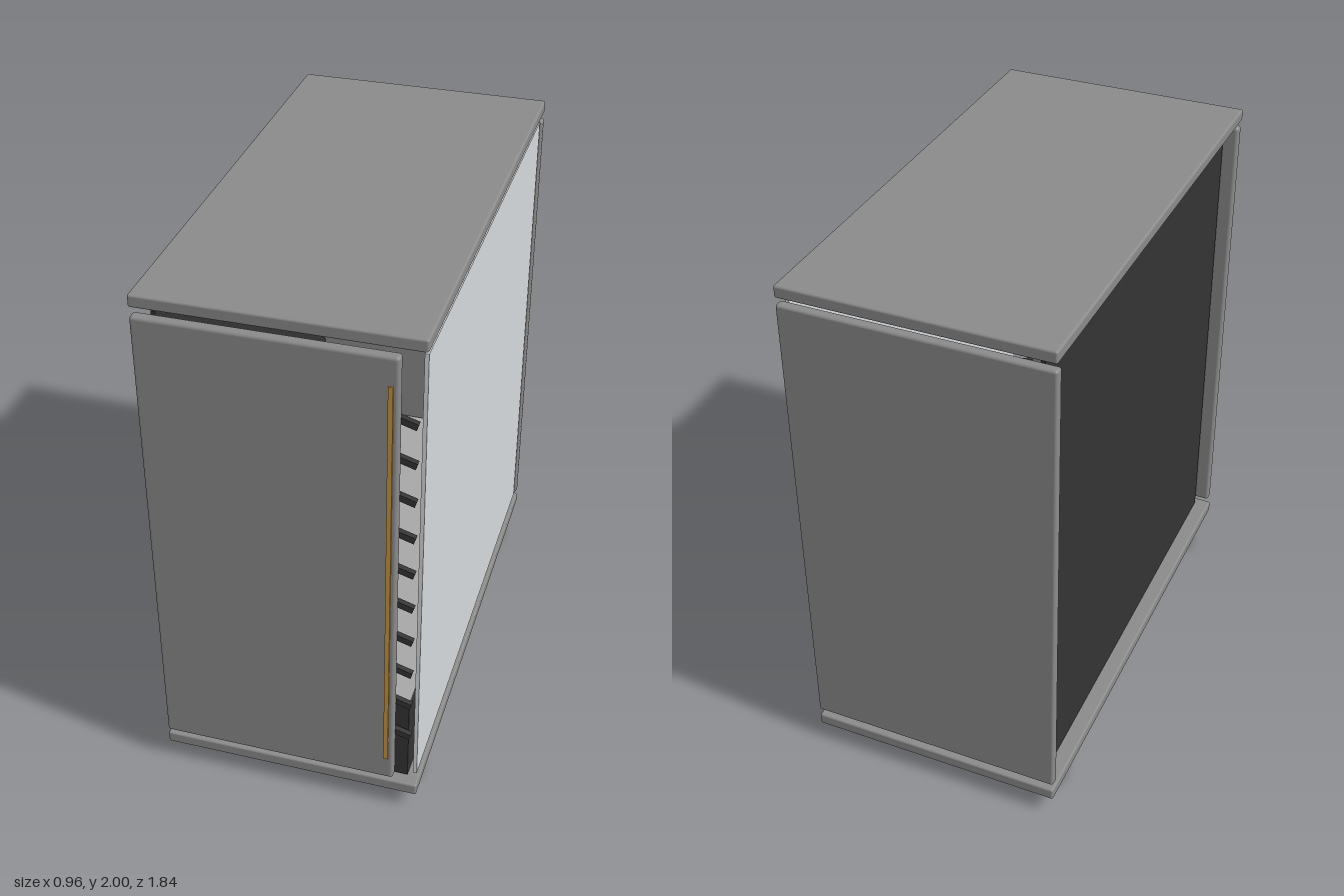
import * as THREE from 'three';
import { RoundedBoxGeometry } from 'three/addons/geometries/RoundedBoxGeometry.js';

const mat = (name, color) => {
  const m = new THREE.MeshStandardMaterial({ color });
  m.name = name;
  return m;
};

export function createModel() {
  const group = new THREE.Group();
  const grey = mat('panel grey', 0x8b8b8b);
  const dark = mat('dark steel', 0x343434);
  const pale = mat('pale side panel', 0xd6d9dc);
  const white = mat('foot white', 0xf0f0f0);
  const brass = mat('brass', 0xc8943c);
  const shelfGrey = mat('shelf grey', 0xa8a8a8);

  const add = (name, geometry, material, x = 0, y = 0, z = 0) => {
    const mesh = new THREE.Mesh(geometry, material);
    mesh.name = name;
    mesh.position.set(x, y, z);
    group.add(mesh);
    return mesh;
  };
  // Box given by its limits on each axis; radius rounds the edges
  const box = (name, material, [x0, x1], [y0, y1], [z0, z1], radius = 0) => {
    const size = [x1 - x0, y1 - y0, z1 - z0];
    const geometry = radius ? new RoundedBoxGeometry(...size, 3, radius) : new THREE.BoxGeometry(...size);
    return add(name, geometry, material, (x0 + x1) / 2, (y0 + y1) / 2, (z0 + z1) / 2);
  };

  // Outer plates, separated by shadow gaps
  const width = [-0.478, 0.478], depth = [-0.917, 0.9], wall = [0.143, 1.93];
  box('lid', grey, width, [1.955, 2], depth, 0.008);
  box('basePlate', grey, width, [0.07, 0.117], depth, 0.008);
  box('rearPanel', grey, width, wall, [-0.917, -0.88], 0.01);
  box('frontPanel', grey, [-0.473, 0.393], wall, [0.872, 0.912], 0.012);
  box('frontTrim', brass, [0.359, 0.375], [0.243, 1.828], [0.905, 0.918]);

  // Pale side panel, and the recessed dark wall on the other side
  box('leftPanel', pale, [0.456, 0.47], wall, [-0.868, 0.862]);
  box('rightWall', dark, [-0.42, -0.405], [0.122, 1.93], [-0.87, 0.86]);

  // Inner floor and covered compartment
  box('floor', dark, [-0.405, 0.435], [0.122, 0.143], [-0.865, -0.1]);
  box('lowerCompartment', dark, [-0.405, 0.435], [0.122, 0.468], [-0.1, 0.858]);
  box('compartmentTop', shelfGrey, [-0.405, 0.435], [0.468, 0.475], [-0.865, 0.858]);

  // Slanted intake slats in the front gap
  const slatGeometry = new THREE.BoxGeometry(0.08, 0.024, 0.02);
  for (let i = 0; i < 10; i++) {
    const slat = add('intakeSlat', slatGeometry, dark, 0.408, 0.351 + i * 0.1482, 0.875);
    slat.rotation.z = -0.3;
  }

  // Round feet
  const footGeometry = new THREE.CylinderGeometry(0.088, 0.088, 0.07, 40);
  for (const x of [-0.365, 0.365]) {
    for (const z of [-0.74, 0.72]) add('foot', footGeometry, white, x, 0.035, z);
  }
  return group;
}
